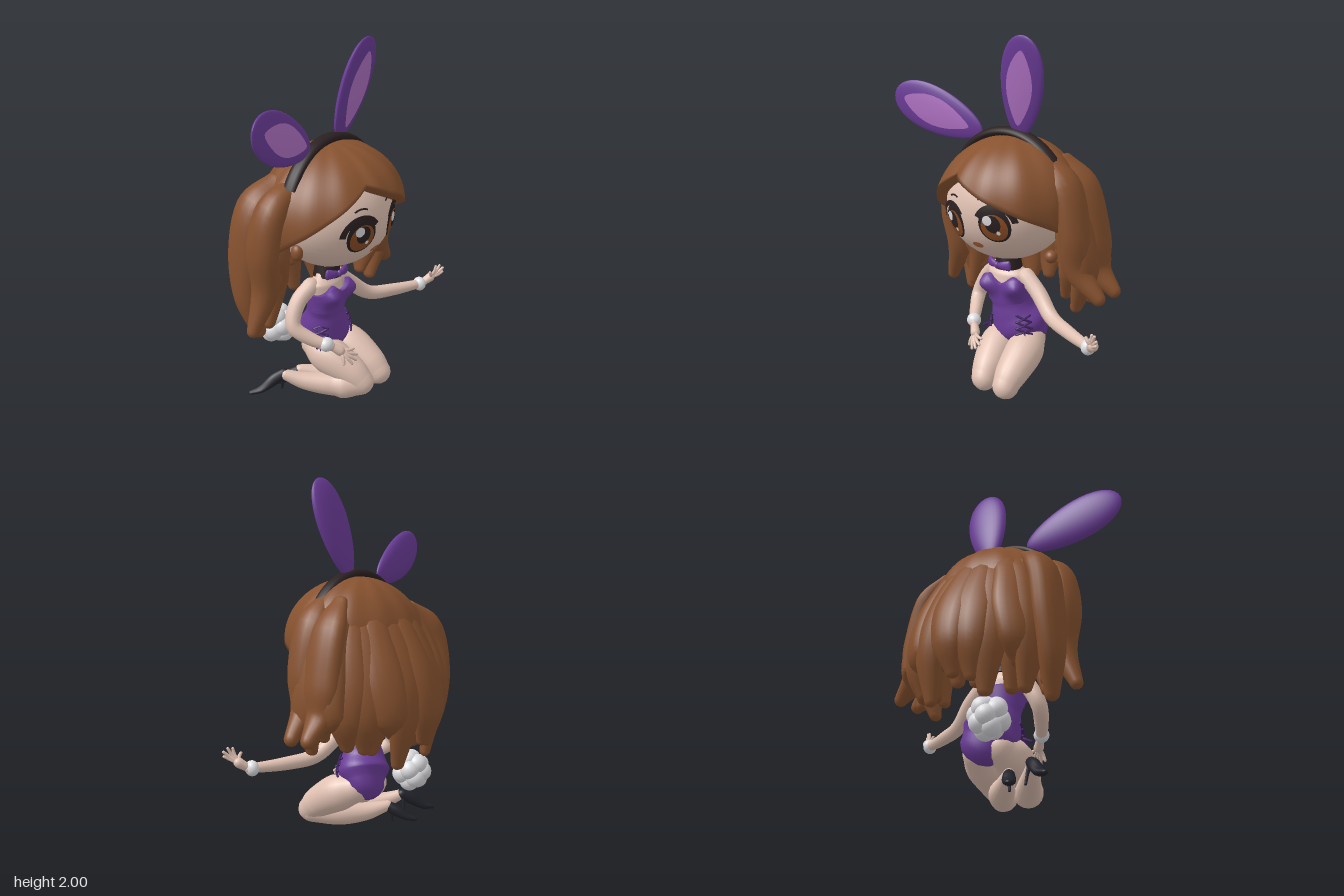
import * as THREE from 'three';

const mat = (name, color, side = THREE.FrontSide) => {
  const m = new THREE.MeshStandardMaterial({ color, side });
  m.name = name;
  return m;
};
const V = (p) => new THREE.Vector3(p[0], p[1], p[2]);

// Closed-around grid of points: fn(row, angle) gives each vertex
function grid(rows, cols, fn) {
  const pos = [], idx = [];
  for (let i = 0; i < rows; i++)
    for (let j = 0; j < cols; j++) pos.push(...fn(i, (j / cols) * Math.PI * 2));
  for (let i = 0; i < rows - 1; i++)
    for (let j = 0; j < cols; j++) {
      const k = (j + 1) % cols, a = i * cols, b = a + cols;
      idx.push(a + j, a + k, b + j, a + k, b + k, b + j);
    }
  const g = new THREE.BufferGeometry();
  g.setAttribute('position', new THREE.Float32BufferAttribute(pos, 3));
  g.setIndex(idx);
  g.computeVertexNormals();
  return g;
}

// Rounded sweep through points [x, y, z, width, depth = width]; depth lies along "out"
function sweep(pts, out, cols = 12, steps = 5) {
  const path = new THREE.CatmullRomCurve3(pts.map(V));
  const size = new THREE.CatmullRomCurve3(pts.map((p) => V([p[3], p[4] ?? p[3], 0])));
  const span = V(pts[pts.length - 1]).sub(V(pts[0])).normalize();
  const ref = out ? V(out) : Math.abs(span.z) > 0.7 ? V([0, 1, 0]) : V([0, 0, 1]);
  const n = (pts.length - 1) * steps, rings = [];
  const add = (u, cap) => {
    const t = path.getTangent(u), s = size.getPoint(u);
    const p = path.getPoint(u).addScaledVector(t, Math.sin(cap) * Math.min(s.x, s.y));
    const nv = ref.clone().addScaledVector(t, -ref.dot(t)).normalize();
    const bv = t.clone().cross(nv);
    rings.push({ p, nv, bv, w: s.x * Math.cos(cap), h: s.y * Math.cos(cap) });
  };
  for (let k = 4; k > 0; k--) add(0, (-k / 4) * 1.565);
  for (let i = 0; i <= n; i++) add(i / n, 0);
  for (let k = 1; k <= 4; k++) add(1, (k / 4) * 1.565);
  return grid(rings.length, cols, (i, a) => {
    const r = rings[i];
    return r.p.clone().addScaledVector(r.nv, r.h * Math.cos(a)).addScaledVector(r.bv, r.w * Math.sin(a)).toArray();
  });
}

export function createModel() {
  const model = new THREE.Group();
  model.name = 'kneelingFigure';
  const purple = mat('purple', 0x6b3c98), lilac = mat('lilac', 0xb072c4);
  const skin = mat('skin', 0xe0c1b2), hair = mat('hairBrown', 0x87522f, THREE.DoubleSide);
  const black = mat('black', 0x2a2021), shoe = mat('shoeBlack', 0x22222b), white = mat('white', 0xdedee2);
  const iris = mat('irisBrown', 0x8a4c24), lip = mat('lip', 0xb0663c), lace = mat('lacePurple', 0x40205f);

  const put = (name, geo, m, parent = model) => {
    const mesh = new THREE.Mesh(geo, m);
    mesh.name = name;
    parent.add(mesh);
    return mesh;
  };
  const ball = (name, p, r, m) => {
    const s = put(name, new THREE.SphereGeometry(1, 24, 16), m);
    s.position.set(...p);
    s.scale.set(...r);
  };

  // Head, tilted and turned a little to its left
  const head = new THREE.Group();
  head.name = 'head';
  head.position.set(-0.03, 1.08, 0.1);
  head.rotation.set(0, 0.1, 0.09);
  model.add(head);
  const [hx, hy, hz] = [0.36, 0.31, 0.32];
  put('face', new THREE.SphereGeometry(1, 40, 28).scale(hx, hy, hz), skin, head);

  // Thin face details laid on the head surface
  const decal = (name, x, y, rx, ry, lift, m, inner = 0, from = 0, arc = Math.PI * 2) => {
    const g = new THREE.RingGeometry(inner, 1, 28, 5, from, arc), p = g.attributes.position;
    for (let i = 0; i < p.count; i++) {
      const px = x + p.getX(i) * rx, py = y + p.getY(i) * ry;
      p.setXYZ(i, px, py, hz * Math.sqrt(Math.max(0, 1 - (px / hx) ** 2 - (py / hy) ** 2)) + lift);
    }
    g.computeVertexNormals();
    put(name, g, m, head);
  };
  for (const s of [-1, 1]) {
    const x = s * 0.137, y = -0.052;
    decal('eyeOutline', x, y, 0.083, 0.096, 0.004, black);
    decal('iris', x, y - 0.012, 0.069, 0.074, 0.007, iris);
    decal('pupil', x, y + 0.008, 0.04, 0.048, 0.01, black);
    decal('eyeShine', x - 0.024, y + 0.03, 0.025, 0.027, 0.013, white);
    decal('eyeGlint', x + 0.022, y - 0.04, 0.01, 0.011, 0.013, white);
    decal('upperLash', x + s * 0.008, y + 0.002, 0.114, 0.114, 0.012, black, 0.76, s > 0 ? 0.1 : 0.5, 2.55);
    decal('brow', x - s * (s > 0 ? 0.045 : 0.005), y + 0.1, 0.065, 0.05, 0.005, black, 0.82, 0.9, 1.35);
  }
  decal('mouth', -0.005, -0.175, 0.037, 0.018, 0.005, lip);

  // Headband
  const band = put('headband', new THREE.TorusGeometry(0.385, 0.026, 10, 40, 2), black, head);
  band.rotation.z = 0.6;
  band.position.z = -0.01;
  band.scale.set(1.03, 1.03, 1.6);

  // Rabbit ears: spoon-shaped shells with a pointed lilac lining
  const ear = (name, c, up, front, long) => {
    const g = new THREE.Group(), y = V(up).normalize(), f = V(front);
    const z = f.addScaledVector(y, -f.dot(y)).normalize();
    g.quaternion.setFromRotationMatrix(new THREE.Matrix4().makeBasis(y.clone().cross(z), y, z));
    g.position.set(...c);
    g.name = name;
    model.add(g);
    const bend = (geo, fn) => {
      const p = geo.attributes.position;
      for (let i = 0; i < p.count; i++) {
        const [px, py, pz] = fn(p.getX(i), p.getY(i), p.getZ(i));
        p.setXYZ(i, px * 0.135 * (0.97 + 0.2 * py), py * long, pz);
      }
      geo.computeVertexNormals();
      return geo;
    };
    put('earShell', bend(new THREE.SphereGeometry(1, 28, 20), (a, b, d) => [a, b, d * (d > 0 ? 0.026 : 0.05)]), purple, g);
    put('earLining', bend(new THREE.RingGeometry(0, 1, 28, 5), (a, b) => {
      const u = a * 0.62 * (1 - 0.45 * b * b), v = b * 0.74;
      return [u, v, 0.026 * Math.sqrt(1 - u * u - v * v) + 0.004];
    }), lilac, g);
  };
  ear('leftEar', [0.1, 1.725, 0.13], [0.13, 0.53, 0.1], [0.2, 0, 1], 0.285);
  ear('rightEar', [-0.495, 1.545, 0.2], [-0.5, 0.175, 0.16], [0.33, 0, 1], 0.3);

  // Hair cap with swept bangs: its hem rises to a parting over the forehead
  const rows = 22;
  put('hairCap', grid(rows, 96, (i, a) => {
    const d = Math.atan2(Math.sin(a + 0.2), Math.cos(a + 0.2));
    const hem = Math.min(2, 1 + (d > 0 ? 0.55 * d : -0.7 * d));
    const phi = hem * (1 - Math.max(0, i - 1) / (rows - 2)) + 0.0005;
    const s = Math.sin(phi);
    let r = i === 0 ? 0.84 : 1 + 0.01 * Math.sin(13 * d) * s;
    r -= 0.035 * Math.exp(-((d / 0.09) ** 2)) * s * s;
    const x = 0.43 * r * s * Math.sin(a), z = Math.cos(a);
    return [-0.04 + x, 1.08 + 0.08 * x + 0.38 * r * Math.cos(phi), 0.06 + (z > 0 ? 0.43 : 0.33) * r * s * z];
  }), hair);

  // Back hair: an outer row of broad uneven locks and an inner filling row
  const lockRow = (name, count, k, top, end) => {
    for (let i = 0; i < count; i++) {
      const a = 1.62 + (i / (count - 1)) * 3.04, j = Math.sin(i * 2.4 + k * 5);
      const lift = end + 0.09 * Math.max(0, Math.sin(a)) + 0.08 * j;
      const at = (rx, rz, y, w, h, turn = 0) => {
        const grow = k * (1 + 0.035 * j) * (1 - 0.1 * Math.sin(2 * a) ** 2);
        return [-0.02 + Math.sin(a + turn) * rx * grow, y, Math.cos(a + turn) * rz * grow - 0.01, w, h];
      };
      const pts = [at(0.17, 0.09, 1.34 + 0.03 * j, 0.05, 0.03), at(0.36, 0.2, 1.18, 0.1, 0.06),
        at(0.455, 0.33, 0.93, 0.12, 0.065), at(0.475, 0.37, 0.74, 0.1, 0.06, 0.05 * j),
        at(0.43, 0.34, lift, 0.04, 0.03, 0.1 * j)];
      put(name, sweep(pts.slice(top), [Math.sin(a), 0, Math.cos(a)], 14, 6), hair);
    }
  };
  lockRow('backLock', 12, 1, 0, 0.54);
  lockRow('innerLock', 10, 0.8, 1, 0.58);

  // Side locks, flattened against the head
  const sideLocks = [
    [[-0.32, 1.28, 0.09, 0.05, 0.03], [-0.47, 1.16, 0.08, 0.09, 0.075], [-0.52, 0.95, 0.06, 0.1, 0.075], [-0.5, 0.72, 0.05, 0.08, 0.07], [-0.58, 0.51, 0.04, 0.035]],
    [[-0.34, 1.28, -0.02, 0.06, 0.03], [-0.47, 1.14, -0.06, 0.11, 0.075], [-0.52, 0.9, -0.08, 0.11, 0.07], [-0.52, 0.65, -0.07, 0.08, 0.065], [-0.48, 0.46, -0.03, 0.04]],
    [[-0.36, 1.1, 0.02, 0.06], [-0.4, 0.9, 0.03, 0.075], [-0.38, 0.72, 0.01, 0.06], [-0.43, 0.5, 0, 0.035]],
    [[0.23, 1.36, 0.06, 0.05, 0.03], [0.35, 1.22, 0.05, 0.1, 0.07], [0.41, 0.97, 0.045, 0.1, 0.075], [0.42, 0.78, 0.03, 0.08, 0.07], [0.54, 0.64, 0, 0.04]],
    [[0.24, 1.34, -0.05, 0.06, 0.03], [0.35, 1.19, -0.08, 0.12, 0.07], [0.42, 0.92, -0.1, 0.12, 0.075], [0.44, 0.76, -0.11, 0.09, 0.065], [0.54, 0.65, -0.13, 0.04]],
    [[0.33, 1.1, 0, 0.06], [0.36, 0.9, 0, 0.07], [0.37, 0.75, -0.02, 0.06], [0.46, 0.62, -0.04, 0.035]],
  ];
  for (const l of sideLocks) put('sideLock', sweep(l, [1, 0, 0], 16, 6), hair);
  ball('templeCurl', [-0.36, 0.92, 0.15], [0.03, 0.045, 0.035], hair);
  ball('templeCurl', [0.31, 0.85, 0.12], [0.035, 0.035, 0.035], hair);

  // Torso, neck and bodysuit
  const facing = [0.25, 0, 1], cosT = Math.cos(0.245), sinT = Math.sin(0.245);
  put('bodysuit', sweep([[0, 0.29, -0.015, 0.135, 0.1], [-0.02, 0.35, 0.02, 0.166, 0.145], [-0.04, 0.42, 0.045, 0.14, 0.12],
    [-0.05, 0.49, 0.06, 0.12, 0.1], [-0.06, 0.55, 0.075, 0.125, 0.095]], facing, 32), purple);
  put('upperChest', sweep([[-0.06, 0.6, 0.075, 0.118, 0.085], [-0.06, 0.66, 0.07, 0.128, 0.075], [-0.06, 0.7, 0.07, 0.08, 0.05]], facing, 24), skin);
  put('neck', sweep([[-0.06, 0.68, 0.075, 0.052], [-0.05, 0.84, 0.085, 0.052]]), skin);

  // Bodice with a sweetheart neckline; the last row folds in to the chest
  put('bodice', grid(16, 64, (i, angle) => {
    const a = Math.atan2(Math.sin(angle), Math.cos(angle)), cup = Math.exp(-(((Math.abs(a) - 0.62) / 0.42) ** 2));
    const y = 0.5 + (0.11 + 0.055 * cup) * (Math.min(i, 14) / 14);
    const bulge = 0.055 * cup * Math.exp(-(((y - 0.605) / 0.055) ** 2)), fold = i === 15 ? 0.8 : 1;
    const x = Math.sin(a) * (0.122 + 0.12 * (y - 0.5) + bulge) * fold, z = (Math.cos(a) * 0.1 + bulge) * fold;
    return [-0.057 + x * cosT + z * sinT, y, 0.07 + z * cosT - x * sinT];
  }), purple);

  // Collar and bow tie
  const collar = put('collar', new THREE.CylinderGeometry(0.068, 0.08, 0.065, 28), black);
  collar.position.set(-0.055, 0.728, 0.077);
  for (const s of [-1, 1])
    put('bowWing', sweep([[-0.055, 0.725, 0.166, 0.012, 0.012], [-0.055 + s * 0.04, 0.727, 0.162, 0.024, 0.014], [-0.055 + s * 0.075, 0.73, 0.15, 0.03, 0.012]], [0, 0, 1]), purple);
  ball('bowKnot', [-0.055, 0.725, 0.17], [0.016, 0.02, 0.016], purple);

  // Criss-cross lacing on both hips, with loose ends
  const hip = (y, s) => {
    const x = Math.sin(s) * 0.17, z = Math.cos(s) * 0.15;
    const k = y > 0.36 ? 1 - (y - 0.36) * 2 : 1;
    return [-0.025 + (x * cosT + z * sinT) * k, y, 0.028 + (z * cosT - x * sinT) * k, 0.007];
  };
  for (const s of [-1.15, 0.68]) {
    for (const y of [0.33, 0.365, 0.4])
      for (const d of [-0.28, 0.28])
        put('lacing', sweep([hip(y, s - d), hip(y + 0.018, s), hip(y + 0.036, s + d)], null, 6, 3), lace);
    const [x, y, z] = hip(0.33, s);
    for (const d of [0.01, 0.04])
      put('laceEnd', sweep([[x, y, z, 0.008], [x + Math.sign(s) * d, y - 0.06 + d, z + 0.015, 0.008]], null, 6), lace);
  }

  // Fluffy tail
  for (let i = 0; i < 14; i++) {
    const y = 1 - (2 * (i + 0.5)) / 14, r = Math.sqrt(1 - y * y), a = i * 2.4;
    ball('tailPuff', [-0.2 + 0.06 * r * Math.cos(a), 0.36 + 0.065 * y, -0.185 + 0.06 * r * Math.sin(a)], [0.057, 0.057, 0.057], white);
  }

  // Arms, cuffs and hands
  put('rightArm', sweep([[-0.175, 0.655, 0.065, 0.048], [-0.26, 0.58, 0.05, 0.046], [-0.315, 0.46, 0.07, 0.043], [-0.26, 0.39, 0.15, 0.037], [-0.19, 0.35, 0.23, 0.028]]), skin);
  put('leftArm', sweep([[0.06, 0.655, 0.05, 0.048], [0.16, 0.58, 0.055, 0.046], [0.29, 0.485, 0.09, 0.042], [0.46, 0.465, 0.14, 0.037], [0.66, 0.465, 0.205, 0.026]], [0, 1, 0]), skin);
  ball('rightCuff', [-0.205, 0.36, 0.215], [0.043, 0.04, 0.04], white);
  ball('leftCuff', [0.645, 0.465, 0.2], [0.036, 0.043, 0.042], white);
  const hand = (name, wrist, palm, tips) => {
    put(name + 'Palm', sweep([[...wrist, 0.022], [...palm, 0.028]]), skin);
    for (const t of tips) {
      const mid = palm.map((v, i) => v * 0.45 + t[i] * 0.55);
      mid[2] += 0.008;
      put(name + 'Finger', sweep([[...palm, 0.011], [...mid, 0.01], [...t, 0.008]], null, 8, 4), skin);
    }
  };
  hand('leftHand', [0.665, 0.47, 0.21], [0.705, 0.5, 0.235],
    [[0.762, 0.535, 0.285], [0.765, 0.56, 0.285], [0.745, 0.578, 0.275], [0.72, 0.575, 0.265], [0.675, 0.545, 0.255]]);
  hand('rightHand', [-0.18, 0.345, 0.235], [-0.145, 0.315, 0.262],
    [[-0.065, 0.31, 0.29], [-0.06, 0.28, 0.31], [-0.08, 0.258, 0.32], [-0.11, 0.245, 0.32], [-0.155, 0.25, 0.3]]);

  // Folded legs
  put('rightThigh', sweep([[-0.09, 0.265, 0.02, 0.085], [-0.09, 0.225, 0.12, 0.108], [-0.04, 0.14, 0.26, 0.09], [-0.02, 0.095, 0.31, 0.074]], [0, 1, 0], 20), skin);
  put('leftThigh', sweep([[0.06, 0.265, 0.01, 0.085], [0.1, 0.225, 0.11, 0.108], [0.13, 0.14, 0.25, 0.09], [0.14, 0.095, 0.3, 0.074]], [0, 1, 0], 20), skin);
  put('rightCalf', sweep([[-0.02, 0.085, 0.31, 0.068], [-0.12, 0.078, 0.2, 0.068], [-0.24, 0.1, 0.08, 0.05], [-0.32, 0.14, 0, 0.03]], [0, 1, 0], 18), skin);
  put('leftCalf', sweep([[0.14, 0.085, 0.29, 0.068], [0.04, 0.076, 0.17, 0.072], [-0.08, 0.08, 0.06, 0.054], [-0.18, 0.11, -0.02, 0.03]], [0, 1, 0], 18), skin);

  // Heeled shoes
  put('rightShoe', sweep([[-0.32, 0.145, -0.01, 0.03], [-0.365, 0.115, -0.04, 0.034], [-0.43, 0.065, -0.08, 0.034, 0.022], [-0.485, 0.05, -0.11, 0.016, 0.012]], [0, 1, 0]), shoe);
  put('leftShoe', sweep([[-0.185, 0.105, -0.025, 0.03], [-0.215, 0.08, -0.06, 0.034], [-0.255, 0.045, -0.105, 0.034, 0.022], [-0.285, 0.03, -0.145, 0.016, 0.012]], [0, 1, 0]), shoe);
  put('rightHeel', sweep([[-0.32, 0.14, -0.02, 0.014], [-0.31, 0.09, -0.03, 0.009], [-0.305, 0.035, -0.04, 0.007]], [0, 0, 1], 8), shoe);
  put('leftHeel', sweep([[-0.19, 0.1, -0.03, 0.014], [-0.195, 0.06, -0.035, 0.009], [-0.2, 0.02, -0.04, 0.007]], [0, 0, 1], 8), shoe);
  return model;
}
